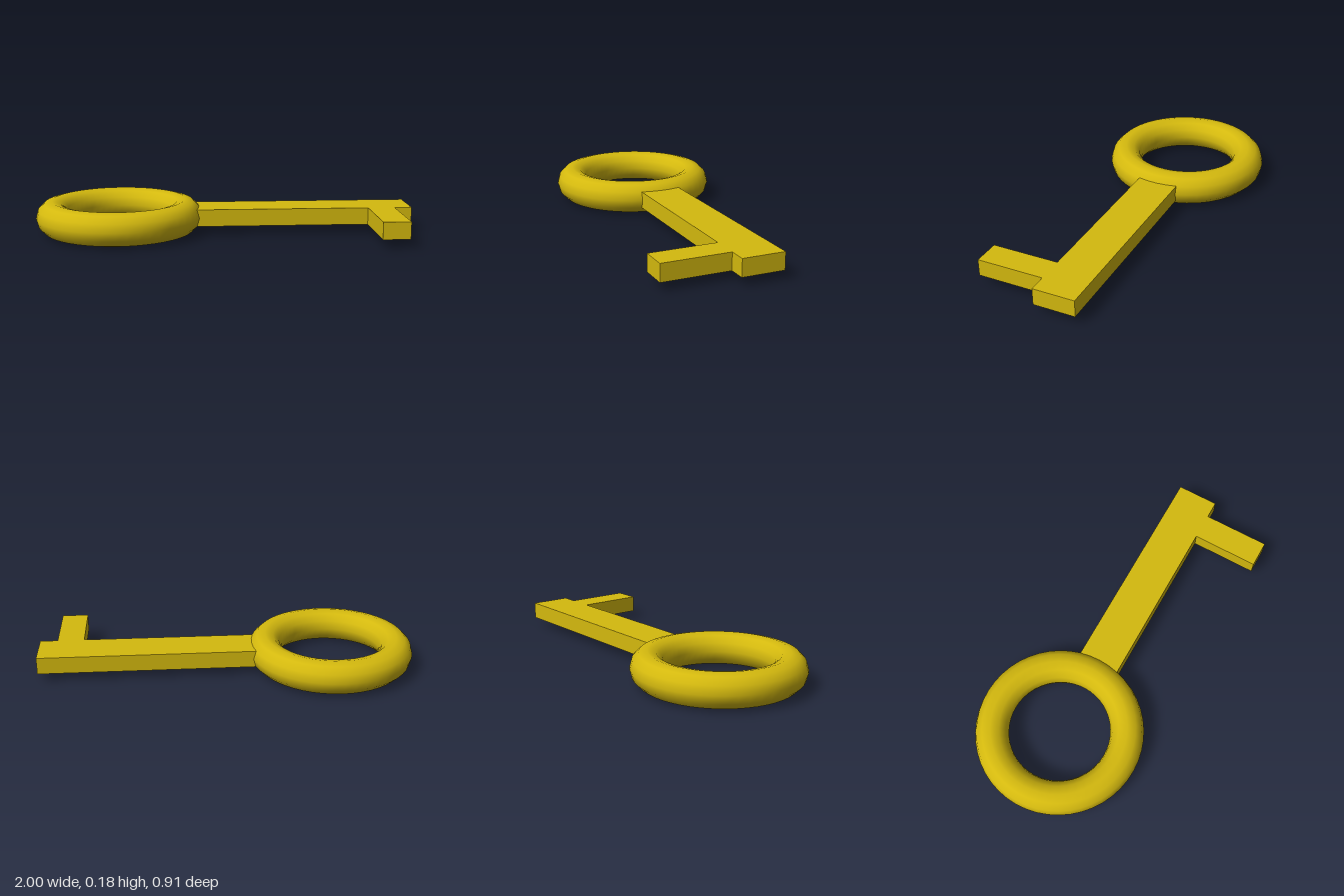
import * as THREE from 'three';

export function createModel() {
  const key = new THREE.Group();
  key.name = 'key';
  const brass = new THREE.MeshStandardMaterial({ color: 0xd4b90e });

  // Round handle: a 12-sided tube bent into a ring, lying flat
  const bow = new THREE.Mesh(new THREE.TorusGeometry(0.352, 0.088, 12, 48), brass);
  bow.name = 'bow';
  bow.rotation.x = -Math.PI / 2;
  bow.position.set(-0.56, 0.089, -0.013);
  key.add(bow);

  // Shaft and single tooth as one flat plate, outlined in (x, z)
  const outline = [
    [-0.2, -0.122], [1, -0.122], [1, 0.1], [0.907, 0.1],
    [0.907, 0.455], [0.765, 0.455], [0.765, 0.1], [-0.2, 0.1],
  ].map(([x, z]) => new THREE.Vector2(x, z));
  const plate = new THREE.ExtrudeGeometry(new THREE.Shape(outline), { depth: 0.09, bevelEnabled: false });
  plate.rotateX(Math.PI / 2);
  const blade = new THREE.Mesh(plate, brass);
  blade.name = 'shaftAndTooth';
  blade.position.y = 0.135;
  key.add(blade);

  return key;
}
